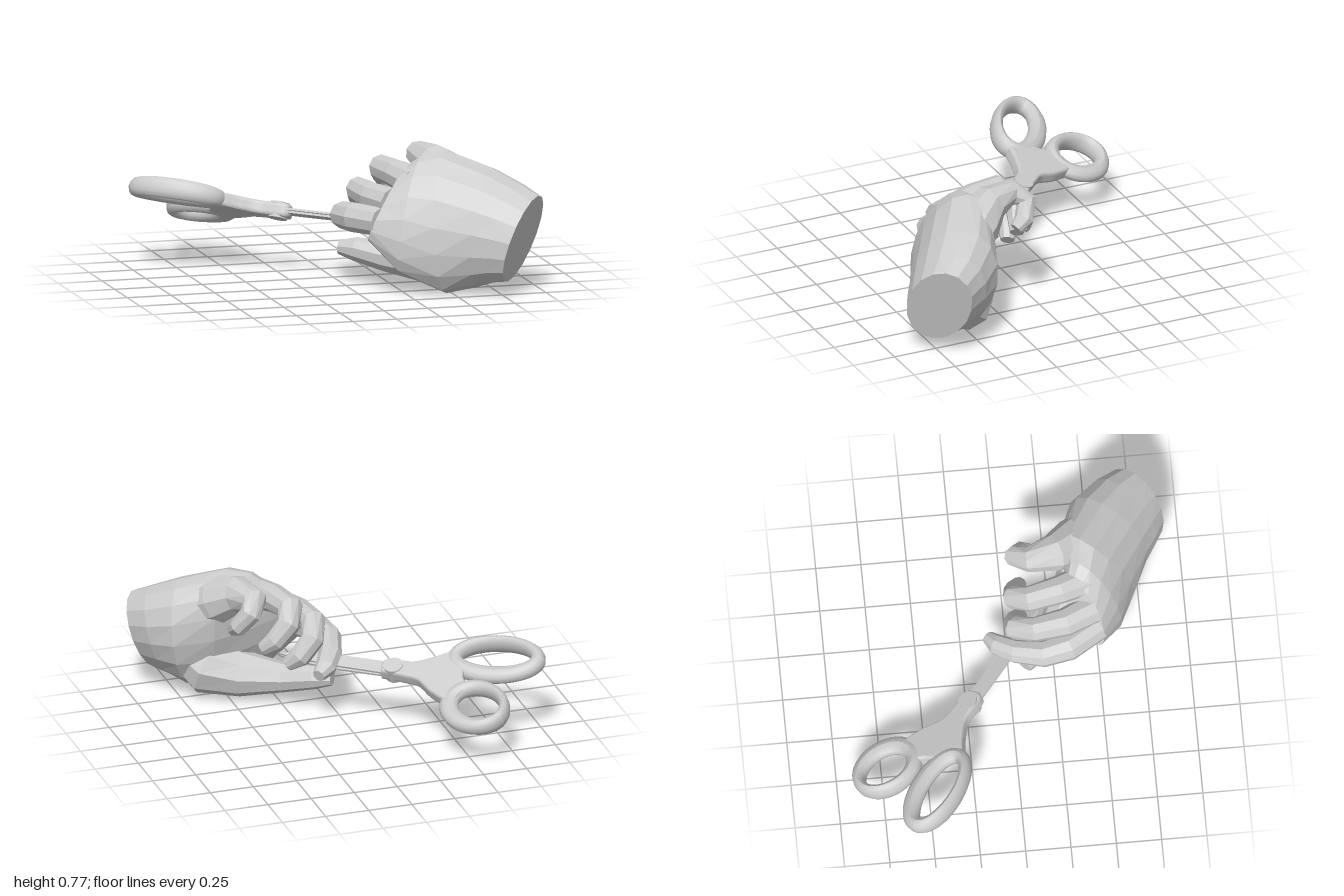
import * as THREE from 'three';

const V = (a) => new THREE.Vector3(...a);
const facetedMat = new THREE.MeshStandardMaterial({ color: 0xcccccc, flatShading: true });
const smoothMat = new THREE.MeshStandardMaterial({ color: 0xcccccc });

function named(name, geometry, material) {
  const mesh = new THREE.Mesh(geometry, material);
  mesh.name = name;
  return mesh;
}

// Capped skin over elliptical sections { c, u, w }, where u x w points along the skin
function loft(sections, sides) {
  const pos = [], index = [];
  for (const { c, u, w } of sections) {
    for (let j = 0; j < sides; j++) {
      const t = (j / sides) * Math.PI * 2;
      pos.push(...c.clone().addScaledVector(u, Math.cos(t)).addScaledVector(w, Math.sin(t)).toArray());
    }
  }
  const last = sections.length - 1;
  const capA = pos.length / 3, capB = capA + 1;
  pos.push(...sections[0].c.toArray(), ...sections[last].c.toArray());
  for (let j = 0; j < sides; j++) {
    const k = (j + 1) % sides;
    for (let i = 0; i < last; i++) {
      const a = i * sides, b = a + sides;
      index.push(a + j, a + k, b + j, a + k, b + k, b + j);
    }
    index.push(capA, k, j, capB, last * sides + j, last * sides + k);
  }
  const g = new THREE.BufferGeometry();
  g.setAttribute('position', new THREE.Float32BufferAttribute(pos, 3));
  g.setIndex(index);
  g.computeVertexNormals();
  return g;
}

// Round limb through rows of [x, y, z, radius], its frame carried along the bends
function limb(rows, sides = 9) {
  const p = rows.map((r) => V(r.slice(0, 3)));
  let u = new THREE.Vector3(0, 1, 0);
  return loft(rows.map((r, i) => {
    const t = p[Math.min(i + 1, p.length - 1)].clone().sub(p[Math.max(i - 1, 0)]).normalize();
    u = u.clone().addScaledVector(t, -u.dot(t)).normalize();
    const w = t.clone().cross(u);
    return { c: p[i], u: u.clone().multiplyScalar(r[3]), w: w.multiplyScalar(r[3]) };
  }), sides);
}

function buildHand() {
  const hand = new THREE.Group();
  hand.name = 'hand';

  // Palm from the cut wrist to the knuckles: centre, upright half-axis, thickness half-axis
  const palm = [
    [[0.86, 0.32, 0.78], [0.085, 0.235, 0.0], [0.12, 0, -0.14]],
    [[0.79, 0.34, 0.70], [0.08, 0.27, -0.01], [0.13, 0, -0.175]],
    [[0.69, 0.36, 0.61], [0.05, 0.325, -0.03], [0.135, 0, -0.2]],
    [[0.49, 0.39, 0.525], [0.02, 0.385, -0.09], [0.12, 0, -0.18]],
    [[0.30, 0.43, 0.49], [0.08, 0.31, -0.07], [0.08, 0, -0.13]],
    [[0.18, 0.49, 0.43], [0.12, 0.19, -0.05], [0.05, 0, -0.09]],
  ].map(([c, u, w]) => ({ c: V(c), u: V(u), w: V(w) }));
  hand.add(named('palm', loft(palm, 16), facetedMat));

  // Thumb below with its ball, four fingers curling over above
  const digits = {
    thumb: [[0.74, 0.31, 0.68, 0.12], [0.58, 0.175, 0.5, 0.17], [0.43, 0.15, 0.395, 0.13],
      [0.23, 0.155, 0.26, 0.083], [0.09, 0.185, 0.15, 0.068], [0.01, 0.19, 0.09, 0.04]],
    indexFinger: [[0.13, 0.4, 0.5, 0.08], [0.03, 0.4, 0.33, 0.083], [0, 0.39, 0.19, 0.075],
      [0.04, 0.36, 0.04, 0.066], [0.1, 0.33, -0.06, 0.058], [0.155, 0.31, -0.105, 0.036]],
    middleFinger: [[0.2, 0.5, 0.48, 0.085], [0.13, 0.51, 0.32, 0.08], [0.1, 0.52, 0.15, 0.07],
      [0.14, 0.46, 0.05, 0.066], [0.21, 0.37, 0.05, 0.062], [0.27, 0.315, 0.085, 0.04]],
    ringFinger: [[0.34, 0.6, 0.46, 0.09], [0.28, 0.625, 0.3, 0.08], [0.24, 0.63, 0.13, 0.073],
      [0.28, 0.57, 0.05, 0.066], [0.35, 0.48, 0.06, 0.06], [0.41, 0.425, 0.095, 0.04]],
    littleFinger: [[0.68, 0.51, 0.57, 0.12], [0.56, 0.61, 0.41, 0.135], [0.48, 0.68, 0.29, 0.105],
      [0.445, 0.7, 0.14, 0.07], [0.49, 0.65, 0.075, 0.06], [0.545, 0.57, 0.115, 0.054], [0.56, 0.53, 0.17, 0.036]],
  };
  for (const [name, rows] of Object.entries(digits)) hand.add(named(name, limb(rows), facetedMat));
  return hand;
}

// Oval finger loop: the rim is broad and flat at the angle heavy, thin and tall opposite
function loopGeometry(a, b, heavy) {
  const pts = [];
  for (let i = 0; i < 24; i++) {
    const t = (i / 24) * Math.PI * 2;
    pts.push(new THREE.Vector3(a * Math.cos(t), b * Math.sin(t), 0));
  }
  const curve = new THREE.CatmullRomCurve3(pts, true);
  const rows = 64, ring = 12;
  const g = new THREE.TubeGeometry(curve, rows, 0.042, ring, true);
  const pos = g.attributes.position, v = new THREE.Vector3();
  for (let i = 0; i < pos.count; i++) {
    const c = curve.getPointAt(Math.floor(i / (ring + 1)) / rows);
    const bias = Math.cos(Math.atan2(c.y / b, c.x / a) - heavy);
    v.fromBufferAttribute(pos, i).sub(c);
    const f = 1 + 0.28 * bias;
    pos.setXYZ(i, c.x + v.x * f, c.y + v.y * f, v.z * (1.2 - 0.2 * bias));
  }
  g.computeVertexNormals();
  return g;
}

// Scissors lie in local XY: handles towards +x, blades towards -x, pivot at the origin
function buildScissors() {
  const scissors = new THREE.Group();
  scissors.name = 'scissors';

  // Finger loops: centre, half-axes, tilt, heavy side
  const loops = [['longLoop', 0.54, 0.18, 0.237, 0.118, 0.13, -1.6], ['roundLoop', 0.55, -0.185, 0.168, 0.136, -0.38, -2.4]];
  for (const [name, x, y, a, b, tilt, heavy] of loops) {
    const loop = named(name, loopGeometry(a, b, heavy), smoothMat);
    loop.position.set(x, y, 0);
    loop.rotation.z = tilt;
    scissors.add(loop);
  }

  // Forked grip joining both loops to the pivot
  const outline = [[-0.05, -0.035], [-0.05, 0.035], [0.1, 0.045], [0.2, 0.095], [0.3, 0.16], [0.34, 0.12],
    [0.38, 0.05], [0.4, -0.01], [0.44, -0.07], [0.42, -0.13], [0.39, -0.18], [0.27, -0.13], [0.17, -0.06], [0.08, -0.045]];
  const gripShape = new THREE.Shape();
  gripShape.moveTo(...outline[0]);
  gripShape.splineThru([...outline.slice(1), outline[0]].map((q) => new THREE.Vector2(...q)));
  const grip = new THREE.ExtrudeGeometry(gripShape, {
    depth: 0.036, bevelEnabled: true, bevelThickness: 0.02, bevelSize: 0.014, bevelSegments: 3, curveSegments: 40,
  });
  grip.translate(0, 0, -0.018);
  scissors.add(named('grip', grip, smoothMat));

  // Two mirrored blades lying against each other
  for (const side of [1, -1]) {
    const pts = [[0, 0.045], [-0.3, 0.045], [-0.55, 0.03], [-0.69, 0], [-0.55, -0.02], [-0.3, -0.035], [0, -0.04]];
    const shape = new THREE.Shape(pts.map(([x, y]) => new THREE.Vector2(x, y * side)));
    const blade = new THREE.ExtrudeGeometry(shape, { depth: 0.012, bevelEnabled: false });
    blade.translate(0, 0, side > 0 ? 0.001 : -0.013);
    scissors.add(named(side > 0 ? 'upperBlade' : 'lowerBlade', blade, smoothMat));
  }

  // Pivot screw
  const pivot = named('pivot', new THREE.CylinderGeometry(0.054, 0.054, 0.09, 24), smoothMat);
  pivot.rotation.x = Math.PI / 2;
  scissors.add(pivot);

  const along = V([-0.765, 0.025, -0.643]).normalize();
  const across = V([-0.59, 0.4, 0.7]);
  across.addScaledVector(along, -across.dot(along)).normalize();
  const normal = along.clone().cross(across);
  scissors.quaternion.setFromRotationMatrix(new THREE.Matrix4().makeBasis(along, across, normal));
  scissors.position.set(-0.24, 0.345, -0.24);
  return scissors;
}

export function createModel() {
  const model = new THREE.Group();
  model.name = 'handHoldingScissors';
  model.add(buildHand(), buildScissors());
  return model;
}
